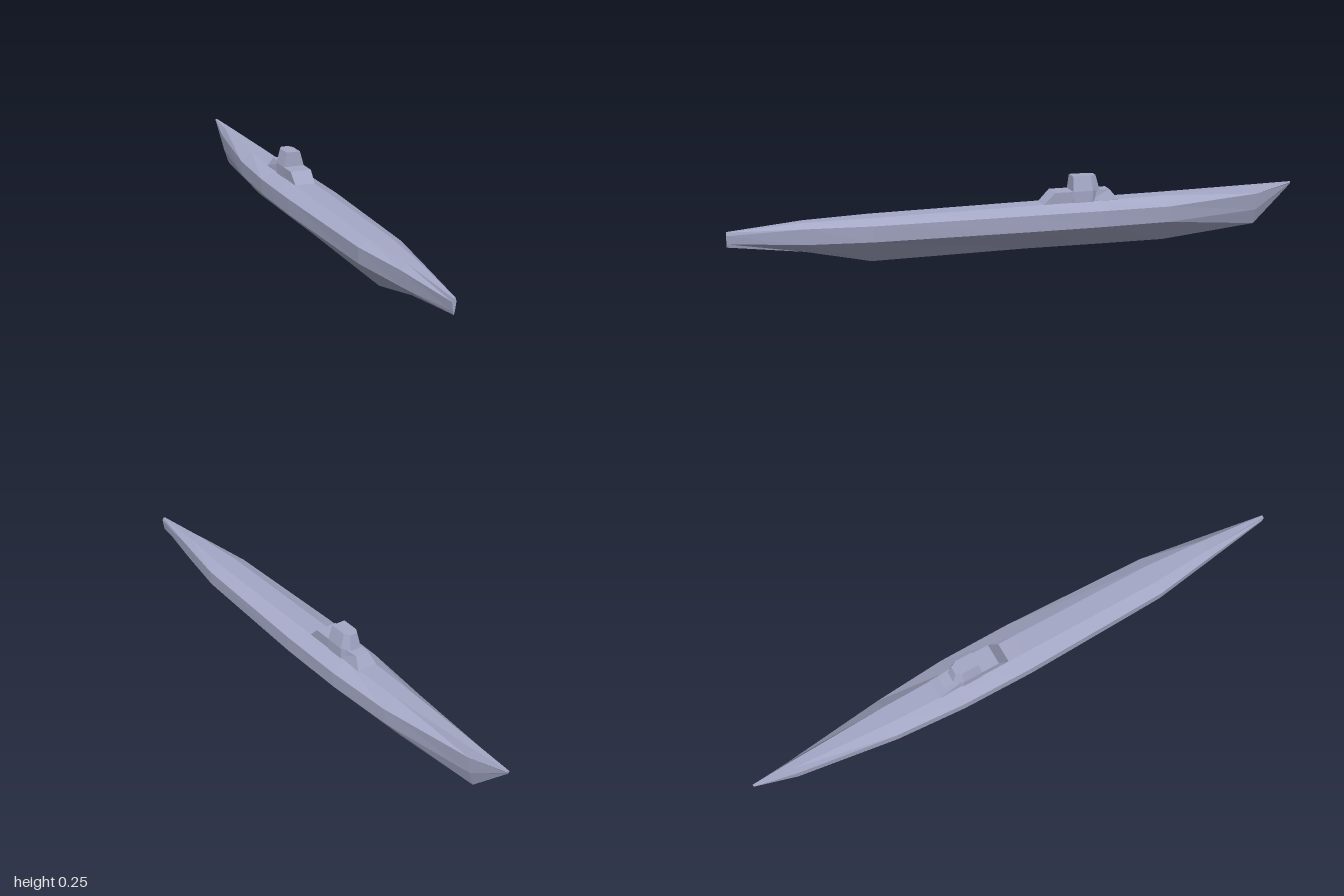
import * as THREE from 'three';

// Joins closed rings of points (counter-clockwise seen from the last ring) and caps both ends
function loft(rings) {
  const pos = [];
  const n = rings[0].length;
  const tri = (a, b, c) => pos.push(...a, ...b, ...c);
  for (let r = 0; r < rings.length - 1; r++) {
    const a = rings[r], b = rings[r + 1];
    for (let i = 0; i < n; i++) {
      const j = (i + 1) % n;
      tri(a[i], a[j], b[j]);
      tri(a[i], b[j], b[i]);
    }
  }
  const first = rings[0], last = rings[rings.length - 1];
  for (let i = 1; i < n - 1; i++) {
    tri(first[0], first[i + 1], first[i]);
    tri(last[0], last[i], last[i + 1]);
  }
  const geo = new THREE.BufferGeometry();
  geo.setAttribute('position', new THREE.Float32BufferAttribute(pos, 3));
  geo.computeVertexNormals();
  return geo;
}

// Mirrored horizontal outline at height y: pairs of [halfWidth, z] from front to back
function outline(y, pts) {
  const right = pts.map(([x, z]) => [x, y, z]);
  const left = pts.map(([x, z]) => [-x, y, z]).reverse();
  return [...right, ...left];
}

export function createModel() {
  const model = new THREE.Group();
  model.name = 'submarine';
  const hullGrey = new THREE.MeshStandardMaterial({ color: 0xa5a8c6, flatShading: true });
  hullGrey.name = 'hullGrey';

  const add = (name, rings) => {
    const mesh = new THREE.Mesh(loft(rings), hullGrey);
    mesh.name = name;
    model.add(mesh);
  };

  // Hull stations, stern to bow: z, keel y, chine x y, shoulder x y, deck edge x y
  const stations = [
    [-1.0, 0.178, 0.002, 0.181, 0.004, 0.184, 0.003, 0.187],
    [-0.86, 0.04, 0.018, 0.095, 0.025, 0.155, 0.012, 0.182],
    [-0.51, 0.005, 0.066, 0.083, 0.07, 0.139, 0.03, 0.171],
    [-0.26, 0.005, 0.084, 0.085, 0.088, 0.142, 0.035, 0.167],
    [0.0, 0.006, 0.087, 0.085, 0.09, 0.142, 0.036, 0.164],
    [0.53, 0.0, 0.07, 0.082, 0.074, 0.137, 0.034, 0.156],
    [0.75, 0.048, 0.037, 0.08, 0.042, 0.134, 0.02, 0.151],
    [1.0, 0.08, 0.003, 0.092, 0.007, 0.12, 0.004, 0.131],
  ];
  add('hull', stations.map(([z, keel, cx, cy, sx, sy, dx, dy]) => [
    [0, keel, z], [cx, cy, z], [sx, sy, z], [dx, dy, z],
    [-dx, dy, z], [-sx, sy, z], [-cx, cy, z],
  ]));

  // Low platform in front of the tower, with a sloping face
  add('frontPlatform', [
    outline(0.155, [[0.036, -0.06], [0.036, -0.2]]),
    outline(0.165, [[0.036, -0.062], [0.036, -0.2]]),
    outline(0.204, [[0.038, -0.1], [0.038, -0.2]]),
  ].map(r => [...r]));

  // Tapered tower with cut rear corners
  add('tower', [
    outline(0.155, [[0.038, -0.165], [0.038, -0.235], [0.02, -0.268]]),
    outline(0.204, [[0.038, -0.165], [0.038, -0.235], [0.02, -0.265]]),
    outline(0.255, [[0.025, -0.168], [0.025, -0.232], [0.014, -0.252]]),
  ]);

  // Aft platform, sloping down at the back
  add('aftPlatform', [
    outline(0.155, [[0.034, -0.22], [0.036, -0.33]]),
    outline(0.168, [[0.034, -0.22], [0.036, -0.328]]),
    outline(0.204, [[0.03, -0.22], [0.024, -0.3]]),
  ]);

  return model;
}
